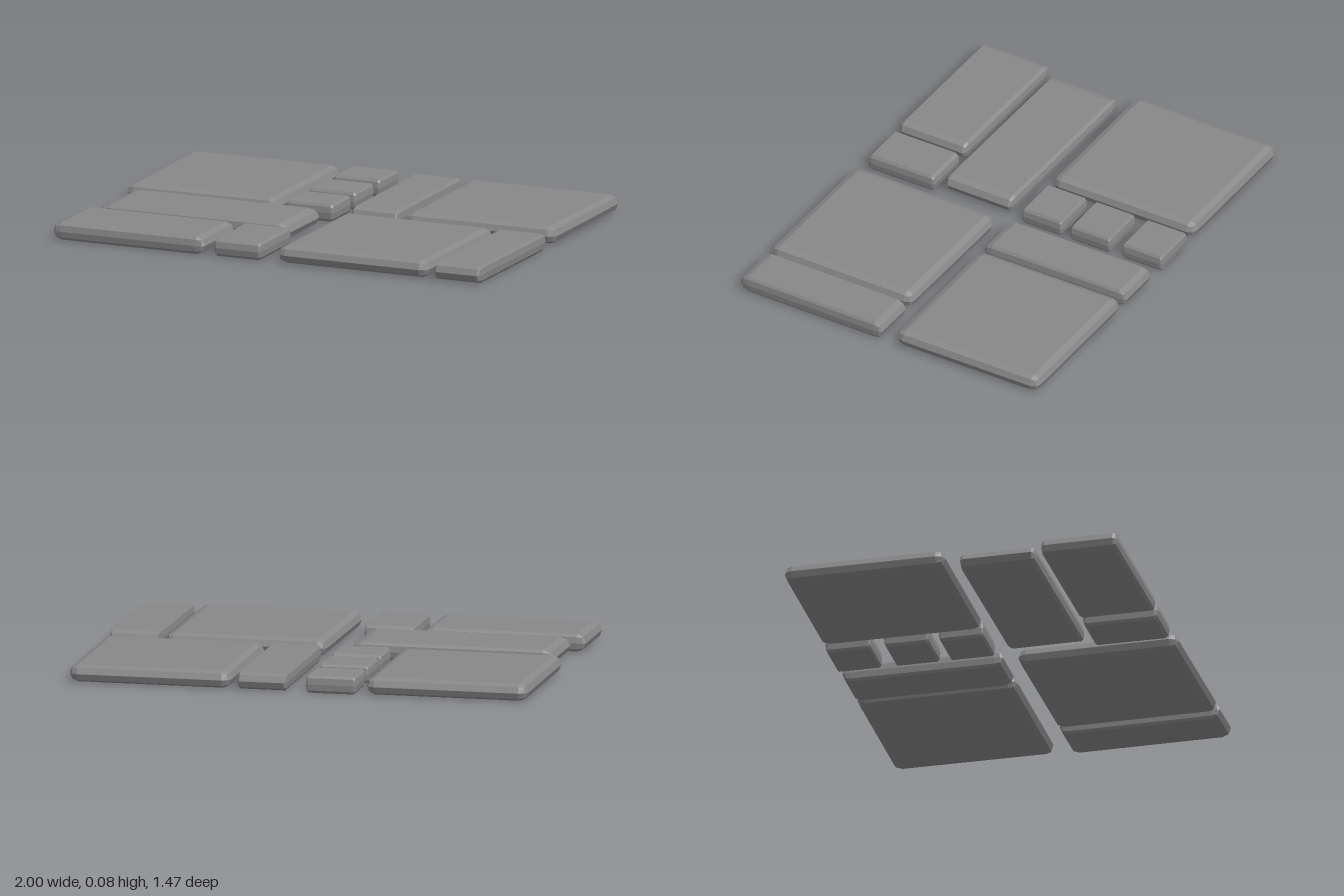
import * as THREE from 'three';
import { RoundedBoxGeometry } from 'three/addons/geometries/RoundedBoxGeometry.js';

const HEIGHT = 0.075;
const SIZE = 0.7;

// name, centre x, centre z, width, depth, slight turn about y
const SLABS = [
  ['backRightLargeSlab', -0.646, -0.388, 0.704, 0.702, 0],
  ['backSmallSlab', -0.143, -0.638, 0.218, 0.2, 0],
  ['middleSmallSlab', -0.143, -0.383, 0.218, 0.198, 0],
  ['innerSmallSlab', -0.143, -0.144, 0.218, 0.198, 0],
  ['backNarrowSlab', 0.158, -0.388, 0.216, 0.702, 0],
  ['backLeftLargeSlab', 0.647, -0.388, 0.704, 0.702, 0],
  ['innerLongSlab', -0.502, 0.185, 0.882, 0.336, -0.01],
  ['frontLongSlab', -0.646, 0.553, 0.704, 0.336, -0.008],
  ['frontSmallSlab', -0.142, 0.552, 0.218, 0.332, 0],
  ['frontLeftLargeSlab', 0.399, 0.38, 0.702, 0.704, -0.01],
  ['frontNarrowSlab', 0.887, 0.383, 0.214, 0.702, -0.01],
];

export function createModel() {
  const group = new THREE.Group();
  const material = new THREE.MeshStandardMaterial({ color: 0x888888, flatShading: true });

  // One paving slab with a full edge bevel, stretched to each size so its bevel stretches too
  const slab = new RoundedBoxGeometry(SIZE, HEIGHT, SIZE, 1, 0.037);

  for (const [name, x, z, width, depth, turn] of SLABS) {
    const mesh = new THREE.Mesh(slab, material);
    mesh.name = name;
    mesh.scale.set(width / SIZE, 1, depth / SIZE);
    mesh.position.set(x, HEIGHT / 2, z);
    mesh.rotation.y = turn;
    group.add(mesh);
  }
  return group;
}
